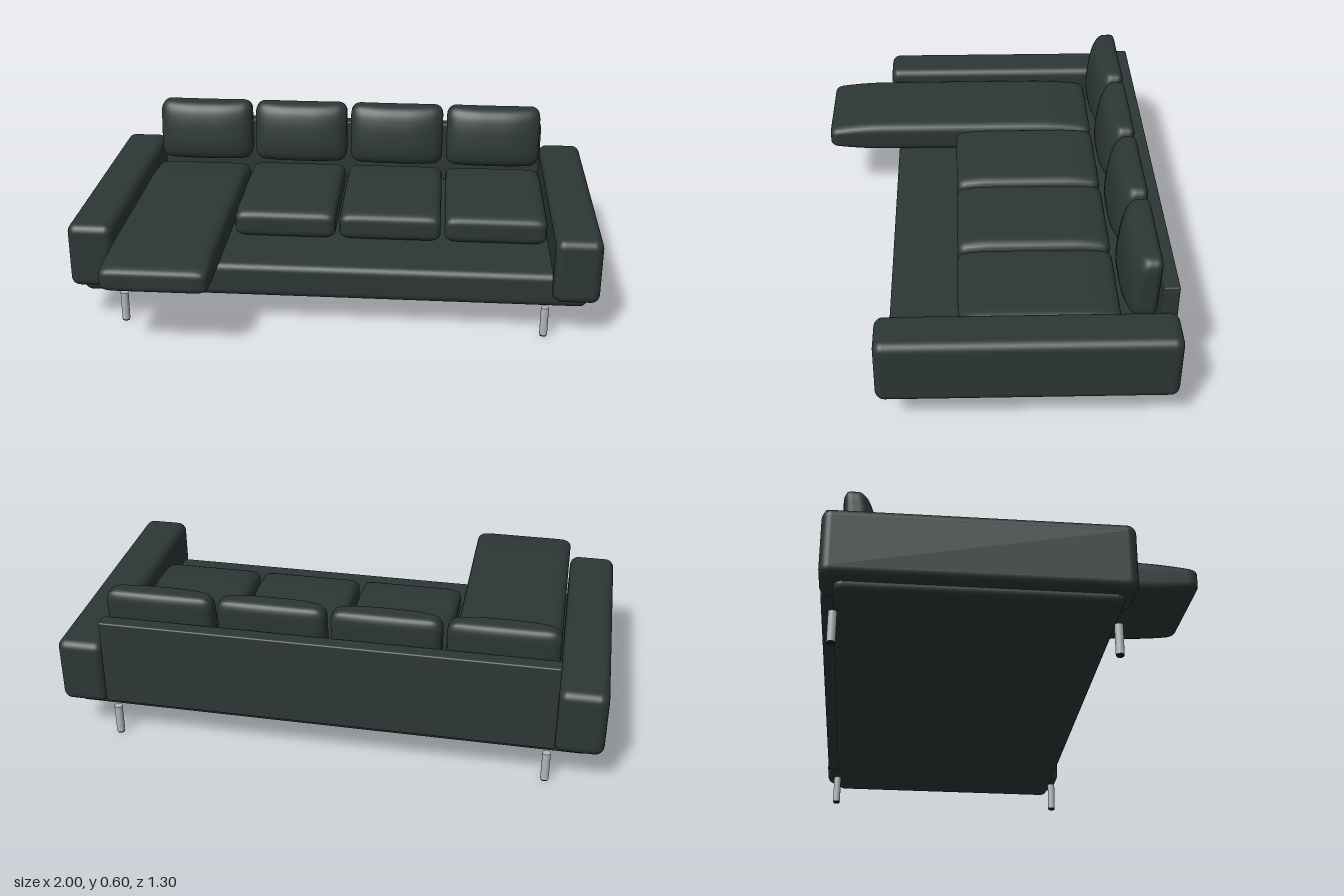
import * as THREE from 'three';
import { mergeVertices } from 'three/addons/utils/BufferGeometryUtils.js';
import { RoundedBoxGeometry } from 'three/addons/geometries/RoundedBoxGeometry.js';

const fabric = new THREE.MeshStandardMaterial({ color: 0x2c3735 });
fabric.name = 'dark green fabric';
const steel = new THREE.MeshStandardMaterial({ color: 0xb2b6ba });
steel.name = 'brushed steel';
const rubber = new THREE.MeshStandardMaterial({ color: 0x1c1e1f });
rubber.name = 'black rubber';

// Rounded block given by its min and max corners
function block(name, [x0, y0, z0], [x1, y1, z1], radius) {
  const geo = new RoundedBoxGeometry(x1 - x0, y1 - y0, z1 - z0, 5, radius);
  const mesh = new THREE.Mesh(geo, fabric);
  mesh.name = name;
  mesh.position.set((x0 + x1) / 2, (y0 + y1) / 2, (z0 + z1) / 2);
  return mesh;
}

// Finely divided rounded box whose vertices are then reshaped by a rule
function softBox(w, h, d, r, shape) {
  const n = (s) => Math.max(10, Math.round(s / 0.014));
  let geo = new THREE.BoxGeometry(w, h, d, n(w), n(h), n(d));
  geo.deleteAttribute('uv');
  geo.deleteAttribute('normal');
  geo = mergeVertices(geo, 1e-5);
  const pos = geo.attributes.position;
  const inner = new THREE.Vector3(w / 2 - r, h / 2 - r, d / 2 - r);
  const p = new THREE.Vector3();
  const core = new THREE.Vector3();
  for (let i = 0; i < pos.count; i++) {
    p.fromBufferAttribute(pos, i);
    core.copy(p).clamp(inner.clone().negate(), inner);
    p.sub(core).setLength(r).add(core);
    shape(p);
    pos.setXYZ(i, p.x, p.y, p.z);
  }
  geo.computeVertexNormals();
  return geo;
}

// 1 at the edge, falling smoothly to 0 at the given distance inside it
const edge = (v, half, reach) => Math.max(0, 1 - (half - Math.abs(v)) / reach) ** 2;

// Seat cushion: thins towards its borders, most of all at front and rear
function seatCushion(name, x, z0, z1, taper, reach) {
  const w = 0.398, h = 0.128, d = z1 - z0;
  const geo = softBox(w, h, d, 0.03, (p) => {
    p.y *= 1 - taper * edge(p.z, d / 2, reach) - 0.12 * edge(p.x, w / 2, 0.06);
  });
  const mesh = new THREE.Mesh(geo, fabric);
  mesh.name = name;
  mesh.position.set(x, 0.306, (z0 + z1) / 2);
  return mesh;
}

// Back cushion: flat rear, full front that leans back and thins at the sides
function backCushion(x) {
  const w = 0.396, h = 0.25, d = 0.135;
  const geo = softBox(w, h, d, 0.04, (p) => {
    const t = (p.z + d / 2) / d;
    const up = (p.y + h / 2) / h;
    const slim = 0.028 * edge(p.x, w / 2, 0.16) + 0.028 * up ** 2 + 0.012 * edge(p.y, h / 2, 0.1);
    p.z -= t * slim;
    p.z += (1 - t) * 0.01 * (1 - up);
  });
  const mesh = new THREE.Mesh(geo, fabric);
  mesh.name = 'backCushion';
  mesh.position.set(x, 0.475, -0.522);
  return mesh;
}

// Steel leg with a dark foot pad
function leg(x, z) {
  const group = new THREE.Group();
  group.name = 'leg';
  const post = new THREE.Mesh(new THREE.CylinderGeometry(0.015, 0.015, 0.112, 24), steel);
  post.name = 'legPost';
  post.position.y = 0.062;
  const pad = new THREE.Mesh(new THREE.CylinderGeometry(0.015, 0.013, 0.006, 24), rubber);
  pad.name = 'footPad';
  pad.position.y = 0.003;
  group.add(post, pad);
  group.position.set(x, 0, z);
  return group;
}

export function createModel() {
  const sofa = new THREE.Group();
  sofa.name = 'cornerSofa';

  // Frame
  sofa.add(block('base', [-0.96, 0.115, -0.602], [0.96, 0.25, 0.36], 0.03));
  sofa.add(block('backPanel', [-0.828, 0.165, -0.646], [0.828, 0.5, -0.59], 0.006));

  // Arms and legs, mirrored
  for (const s of [-1, 1]) {
    const arm = block('armrest', [-0.0875, 0.15, -0.65], [0.0875, 0.405, 0.4], 0.034);
    arm.position.x = s * 0.9125;
    sofa.add(arm);
    for (const z of [0.362, -0.603]) sofa.add(leg(s * 0.802, z));
  }

  // Cushions: the first seat is the long chaise
  [-0.622, -0.209, 0.205, 0.618].forEach((x, i) => {
    sofa.add(i === 0
      ? seatCushion('chaiseCushion', x, -0.46, 0.65, 0.32, 0.24)
      : seatCushion('seatCushion', x, -0.46, 0.112, 0.22, 0.14));
    sofa.add(backCushion(x));
  });
  return sofa;
}
